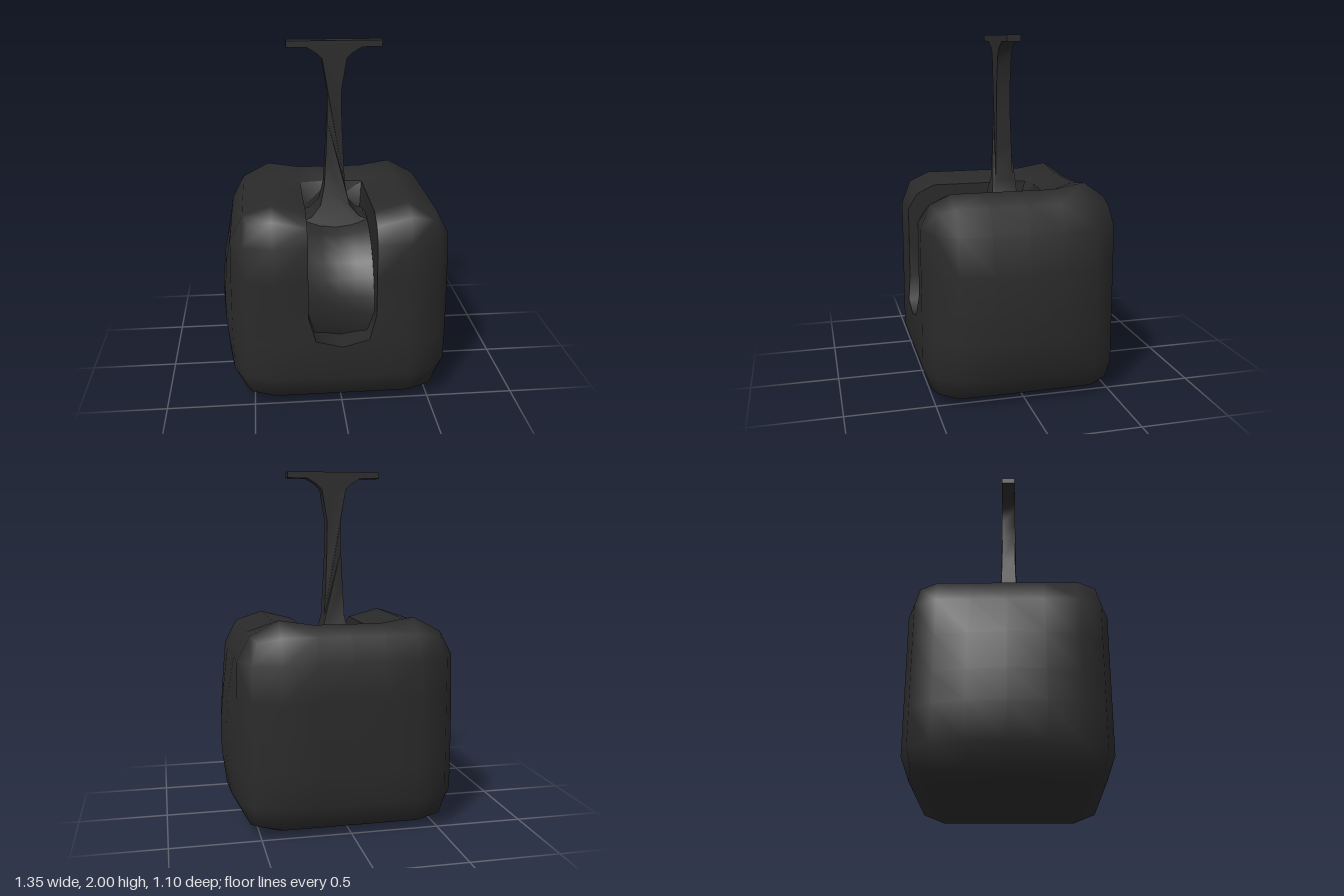
import * as THREE from 'three';
import { toCreasedNormals } from 'three/addons/utils/BufferGeometryUtils.js';

// Grid lines of the block; each outer line rounds off from the one before it
const XS = [-0.61, -0.38, -0.19, 0, 0.19, 0.38, 0.61];
const YS = [0, 0.18, 0.38, 0.55, 0.76, 0.97, 1.17];
const ZS = [-0.55, -0.38, -0.2, 0, 0.2, 0.38, 0.55];
const N = 6;

// Filled grid cells: everything but the slot, which opens to the front and top
function solid(i, j, k) {
  if (Math.min(i, j, k) < 0 || Math.max(i, j, k) >= N) return false;
  return !((i === 2 || i === 3) && j >= 2 && k >= 2);
}

// Position of a grid corner after rounding, bulging and softening the slot
function corner(i, j, k) {
  const p = new THREE.Vector3(XS[i], YS[j], ZS[k]);
  const inner = p.clone().clamp(
    new THREE.Vector3(XS[1], YS[1], ZS[1]),
    new THREE.Vector3(XS[5], YS[5], ZS[5]));
  const radii = new THREE.Vector3(0.23, 0.19, 0.17);
  const d = p.clone().sub(inner).divide(radii);
  if (d.length() > 0) p.copy(inner).add(d.normalize().multiply(radii));
  if (j === 0 && k > 0 && k < N && i > 0 && i < N) p.y = 0;

  // bulging sides
  if (i === 0 || i === N) {
    const bulge = (1 - (p.z / 0.4) ** 2) * (1 - ((p.y - 0.5) / 0.47) ** 2);
    if (Math.abs(p.z) < 0.4 && bulge > 0) p.x += Math.sign(p.x) * 0.065 * bulge;
  }
  // raised back shoulders
  if (j === N && k === 1 && (i === 1 || i === 5)) p.y = 1.19;

  // slot: sloping rim, rounded floor and rounded back
  const edge = i === 2 || i === 4, middle = i === 3;
  if (edge && j === N && k >= 2) p.y -= 0.05;
  if (middle && j === N && k === 2) p.y -= 0.04;
  if (edge && j > 2 && k === N) p.z -= 0.015;
  if (edge && j === 2 && k >= 2) p.set(Math.sign(p.x) * 0.15, 0.41, p.z);
  if (middle && j === 2 && k >= 2) p.y = 0.37;
  if (edge && k === 2 && j > 2 && j < N) p.set(Math.sign(p.x) * 0.175, p.y, -0.15);
  return p;
}

// Skin of the filled cells
function slottedBlock() {
  const pos = [];
  for (let i = 0; i < N; i++) for (let j = 0; j < N; j++) for (let k = 0; k < N; k++) {
    if (!solid(i, j, k)) continue;
    for (let axis = 0; axis < 3; axis++) for (const side of [0, 1]) {
      const next = [i, j, k];
      next[axis] += side ? 1 : -1;
      if (solid(...next)) continue;
      const u = (axis + 1) % 3, v = (axis + 2) % 3;
      const quad = [[0, 0], [1, 0], [1, 1], [0, 1]].map(([a, b]) => {
        const c = [i, j, k];
        c[axis] += side;
        c[u] += a;
        c[v] += b;
        return corner(...c);
      });
      if (!side) quad.reverse();
      for (const n of [0, 1, 2, 0, 2, 3]) pos.push(...quad[n].toArray());
    }
  }
  const geo = new THREE.BufferGeometry();
  geo.setAttribute('position', new THREE.Float32BufferAttribute(pos, 3));
  return toCreasedNormals(geo, 1.05);
}

// Wheel filling the slot, its rim slightly hollow across the width
function hollowWheel() {
  const geo = new THREE.CylinderGeometry(0.46, 0.46, 0.376, 28, 4);
  const p = geo.attributes.position;
  for (let n = 0; n < p.count; n++) {
    const s = 1 - 0.075 * (1 - (p.getY(n) / 0.188) ** 2);
    if (Math.hypot(p.getX(n), p.getZ(n)) > 0.1) p.setXYZ(n, p.getX(n) * s, p.getY(n), p.getZ(n) * s);
  }
  geo.rotateZ(Math.PI / 2);
  return toCreasedNormals(geo, 0.8);
}

// T-shaped lever: mirrored outline, getting deeper towards its foot
function lever() {
  const half = [
    [0.187, 0.9], [0.187, 0.97], [0.14, 0.985], [0.085, 1.05], [0.06, 1.17], [0.05, 1.36],
    [0.042, 1.55], [0.04, 1.72], [0.055, 1.81], [0.07, 1.9], [0.1, 1.93], [0.155, 1.963],
    [0.27, 1.965], [0.27, 2],
  ];
  const outline = [...half, ...half.map(([x, y]) => [-x, y]).reverse()];
  const shape = new THREE.Shape(outline.map(([x, y]) => new THREE.Vector2(x, y)));
  const geo = new THREE.ExtrudeGeometry(shape, { depth: 2, steps: 1, bevelEnabled: false });
  geo.translate(0, 0, -1);
  const p = geo.attributes.position;
  for (let n = 0; n < p.count; n++) {
    const y = p.getY(n);
    const depth = 0.04 + 0.03 * Math.max(0, 1.55 - y) ** 1.0 + 0.3 * Math.max(0, 1.12 - y);
    p.setZ(n, p.getZ(n) * depth);
  }
  return toCreasedNormals(geo, 0.7);
}

export function createModel() {
  const group = new THREE.Group();
  const material = new THREE.MeshStandardMaterial({ color: 0x2a2a2a });
  const add = (name, geo, y = 0) => {
    const mesh = new THREE.Mesh(geo, material);
    mesh.name = name;
    mesh.position.y = y;
    group.add(mesh);
  };
  add('slottedBody', slottedBlock());
  add('wheel', hollowWheel(), 0.52);
  add('leverHandle', lever());
  return group;
}
